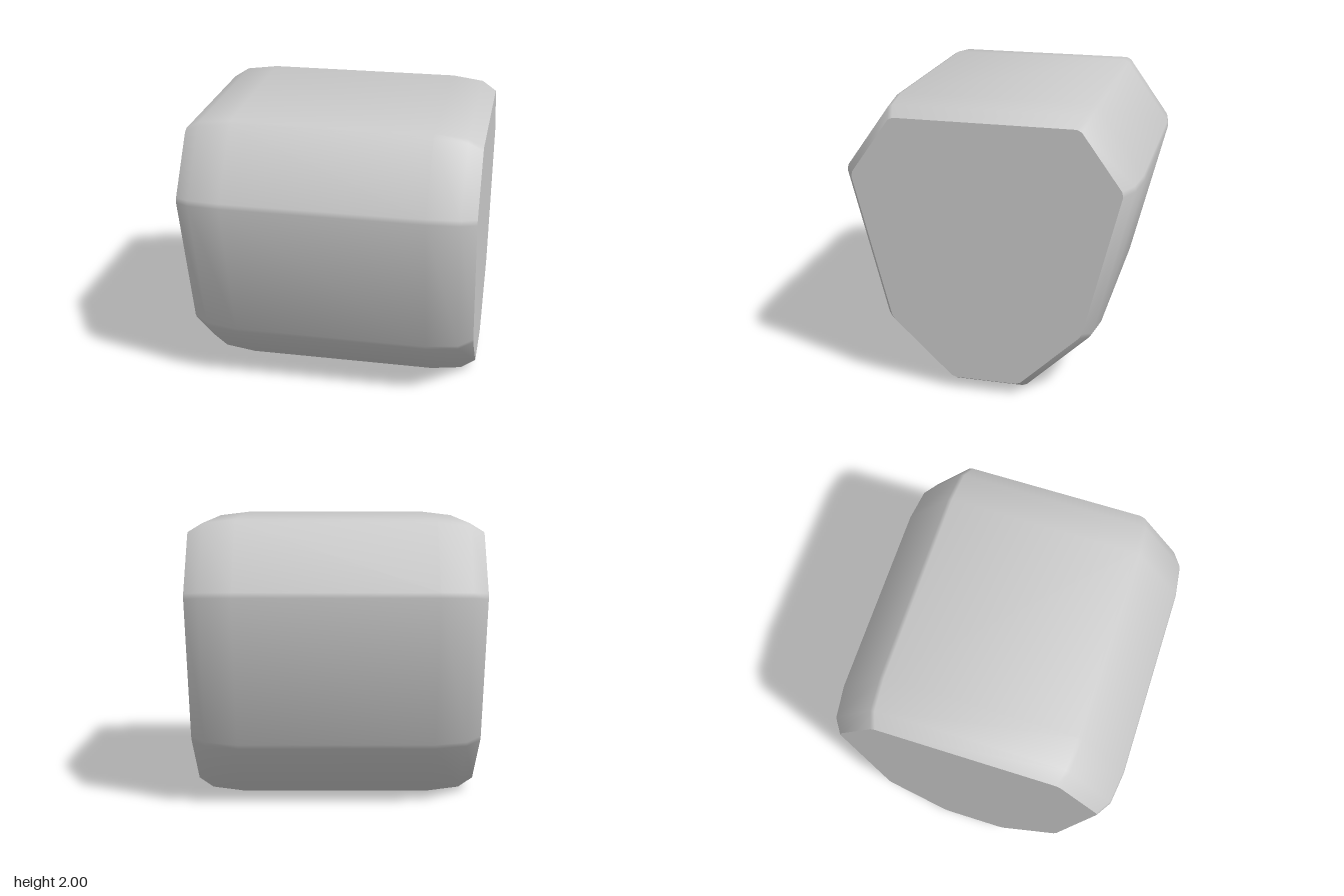
import * as THREE from 'three';

// Eight-sided outline (z, y), starting at the top front corner and running down
const half = [[0.67, 2], [1.005, 1.53], [0.735, 0.45], [0.265, 0]];
const outline = [...half, ...half.map(([z, y]) => [-z, y]).reverse()]
  .map(([z, y]) => new THREE.Vector2(z, y));
const CHAMFER = 0.02;

// Stations along x: position, inset of the outline, tilt of the normal (radians)
const endSteps = [[0.68, 0, 0.05], [0.9, 0.026, 0.33], [1, 0.086, 0.54]];
const stations = [
  ...endSteps.map(([x, d, t]) => [-x, d, -t]).reverse(),
  ...endSteps,
];

// Outline moved inward by d, each corner cut into two points with soft normals
function ring(d) {
  const n = outline.length;
  return outline.flatMap((p, i) => {
    const u0 = p.clone().sub(outline[(i + n - 1) % n]).normalize();
    const u1 = outline[(i + 1) % n].clone().sub(p).normalize();
    const n0 = new THREE.Vector2(-u0.y, u0.x);
    const n1 = new THREE.Vector2(-u1.y, u1.x);
    const mid = n0.clone().add(n1);
    const q = p.clone().addScaledVector(mid, -d / (1 + n0.dot(n1)));
    mid.normalize();
    return [
      { p: q.clone().addScaledVector(u0, -CHAMFER), n: n0.add(mid).normalize() },
      { p: q.clone().addScaledVector(u1, CHAMFER), n: n1.add(mid).normalize() },
    ];
  });
}

// Side wall lofted through the stations
function wallGeometry() {
  const pos = [], nor = [], idx = [];
  const count = outline.length * 2;
  stations.forEach(([x, d, tilt], i) => {
    ring(d).forEach(({ p, n }, j) => {
      pos.push(x, p.y, p.x);
      nor.push(Math.sin(tilt), n.y * Math.cos(tilt), n.x * Math.cos(tilt));
      if (i === stations.length - 1) return;
      const a = i * count + j, b = i * count + (j + 1) % count;
      idx.push(a, b, b + count, a, b + count, a + count);
    });
  });
  const g = new THREE.BufferGeometry();
  g.setAttribute('position', new THREE.Float32BufferAttribute(pos, 3));
  g.setAttribute('normal', new THREE.Float32BufferAttribute(nor, 3));
  g.setIndex(idx);
  return g;
}

export function createModel() {
  const group = new THREE.Group();
  group.name = 'bevelledBlock';
  const material = new THREE.MeshStandardMaterial({ color: 0xcccccc });

  const wall = new THREE.Mesh(wallGeometry(), material);
  wall.name = 'sideWall';
  group.add(wall);

  // Flat end faces
  const capShape = new THREE.Shape(ring(endSteps[2][1]).map(({ p }) => p));
  for (const side of [1, -1]) {
    const cap = new THREE.Mesh(new THREE.ShapeGeometry(capShape), material);
    cap.name = side > 0 ? 'leftEndFace' : 'rightEndFace';
    cap.rotation.y = side * Math.PI / 2;
    cap.position.x = side;
    group.add(cap);
  }
  return group;
}
